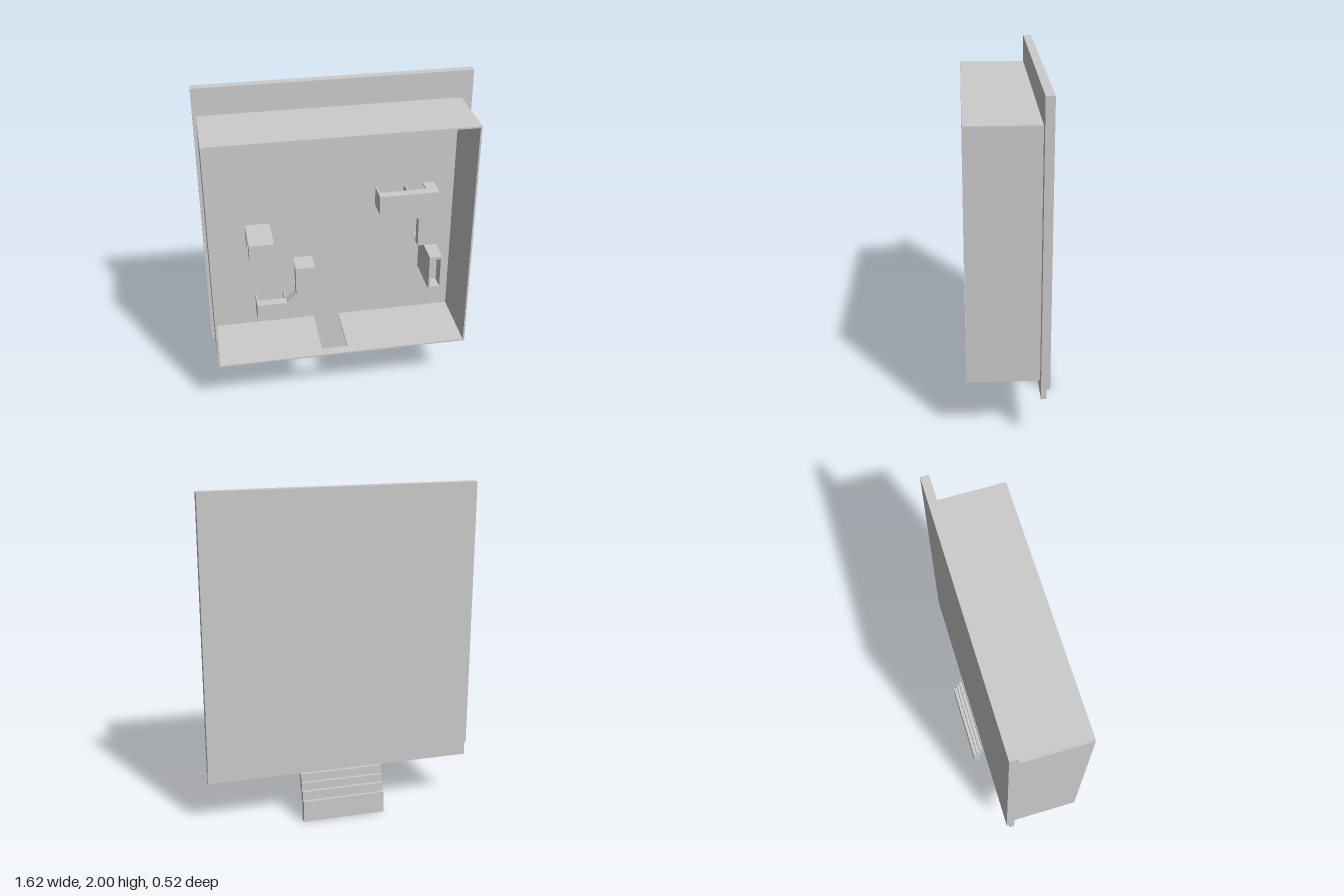
import * as THREE from 'three';

const mat = new THREE.MeshStandardMaterial({ color: 0xcccccc, flatShading: true, side: THREE.DoubleSide });
const BACK = -0.15; // front face of the back plate

// Box given by its limits on each axis
function slab(parent, name, x0, x1, y0, y1, z0, z1) {
  const m = new THREE.Mesh(new THREE.BoxGeometry(x1 - x0, y1 - y0, z1 - z0), mat);
  m.position.set((x0 + x1) / 2, (y0 + y1) / 2, (z0 + z1) / 2);
  m.name = name;
  parent.add(m);
  return m;
}

function outline(points, Type = THREE.Shape) {
  return new Type(points.map(([x, y]) => new THREE.Vector2(x, y)));
}

const rect = (x0, x1, y0, y1) => [[x0, y0], [x1, y0], [x1, y1], [x0, y1]];

function extrude(parent, name, shape, depth) {
  const m = new THREE.Mesh(new THREE.ExtrudeGeometry(shape, { depth, bevelEnabled: false }), mat);
  m.name = name;
  parent.add(m);
  return m;
}

// L-shaped bracket on thin standoffs; up = 1 or -1 is the direction of its upright arm
function bracket(parent, name, x, y, up) {
  const g = new THREE.Group();
  g.name = name;
  const pts = [[0, 0], [0, 0.365], [-0.12, 0.365], [-0.12, 0.18], [-0.18, 0.12], [-0.365, 0.12], [-0.365, 0]];
  const face = extrude(g, 'bracketFace', outline(pts.map(([a, b]) => [a, b * up])), 0.055);
  face.position.z = -0.07;
  const legs = [
    [-0.365, -0.357, 0, 0.12], [-0.188, -0.18, 0, 0.12],
    [-0.12, 0, 0.357, 0.365], [-0.12, 0, 0.18, 0.188],
    [-0.008, 0, 0, 0.07], [-0.07, 0, 0, 0.008],
  ];
  for (const [x0, x1, a, b] of legs) {
    slab(g, 'bracketLeg', x0, x1, Math.min(a * up, b * up), Math.max(a * up, b * up), BACK, -0.07);
  }
  g.position.set(x, y, 0);
  parent.add(g);
}

export function createModel() {
  const model = new THREE.Group();
  model.name = 'wallBox';

  // Back plate, side profile with a shallow rebate along the lower rear edge
  const profile = outline([[0.15, 0.285], [0.18, 0.285], [0.18, 0.375], [0.2, 0.375], [0.2, 2], [0.15, 2]]);
  const plate = extrude(model, 'backPlate', profile, 1.625);
  plate.rotation.y = Math.PI / 2; // profile x becomes -z
  plate.position.x = -0.815;

  // Open-fronted housing
  const housing = new THREE.Group();
  housing.name = 'housing';
  model.add(housing);
  slab(housing, 'rightWall', -0.795, -0.782, 0.372, 1.828, BACK, 0.26);
  slab(housing, 'leftWall', 0.735, 0.745, 0.365, 1.835, BACK, 0.26);
  slab(housing, 'topWall', -0.787, 0.745, 1.825, 1.835, BACK, 0.26);

  // Floor with a cable cutout reaching the back plate
  const floor = outline([
    [-0.787, 0.15], [-0.15, 0.15], [-0.15, -0.2], [0.01, -0.2],
    [0.01, 0.15], [0.745, 0.15], [0.745, -0.26], [-0.787, -0.26],
  ]);
  const floorMesh = extrude(housing, 'floor', floor, 0.01);
  floorMesh.rotation.x = -Math.PI / 2;
  floorMesh.position.y = 0.365;

  // Stepped tongue below the plate
  const steps = [
    [0.233, 0.286, -0.2, -0.165], [0.185, 0.235, -0.22, -0.183],
    [0.13, 0.187, -0.24, -0.203], [0, 0.132, -0.26, -0.223],
  ];
  for (const [y0, y1, z0, z1] of steps) slab(model, 'tongueStep', -0.255, 0.25, y0, y1, z0, z1);

  // Corner brackets, one mirrored top to bottom
  bracket(model, 'lowerBracket', -0.155, 0.475, 1);
  bracket(model, 'upperBracket', 0.608, 1.29, -1);

  // Block with a window through its sides
  const block = outline(rect(-0.095, 0.15, 0.985, 1.1));
  block.holes.push(outline(rect(-0.03, 0.06, 0.998, 1.088), THREE.Path));
  const blockMesh = extrude(model, 'windowBlock', block, 0.15);
  blockMesh.rotation.y = Math.PI / 2;
  blockMesh.position.x = -0.56;

  // Narrow upright socket, hollow at the front
  const socket = outline(rect(0.53, 0.608, 0.69, 0.92));
  socket.holes.push(outline(rect(0.54, 0.6, 0.705, 0.9), THREE.Path));
  extrude(model, 'socketFrame', socket, 0.275).position.z = BACK;
  slab(model, 'socketCore', 0.54, 0.6, 0.705, 0.9, BACK, 0.04);

  return model;
}
